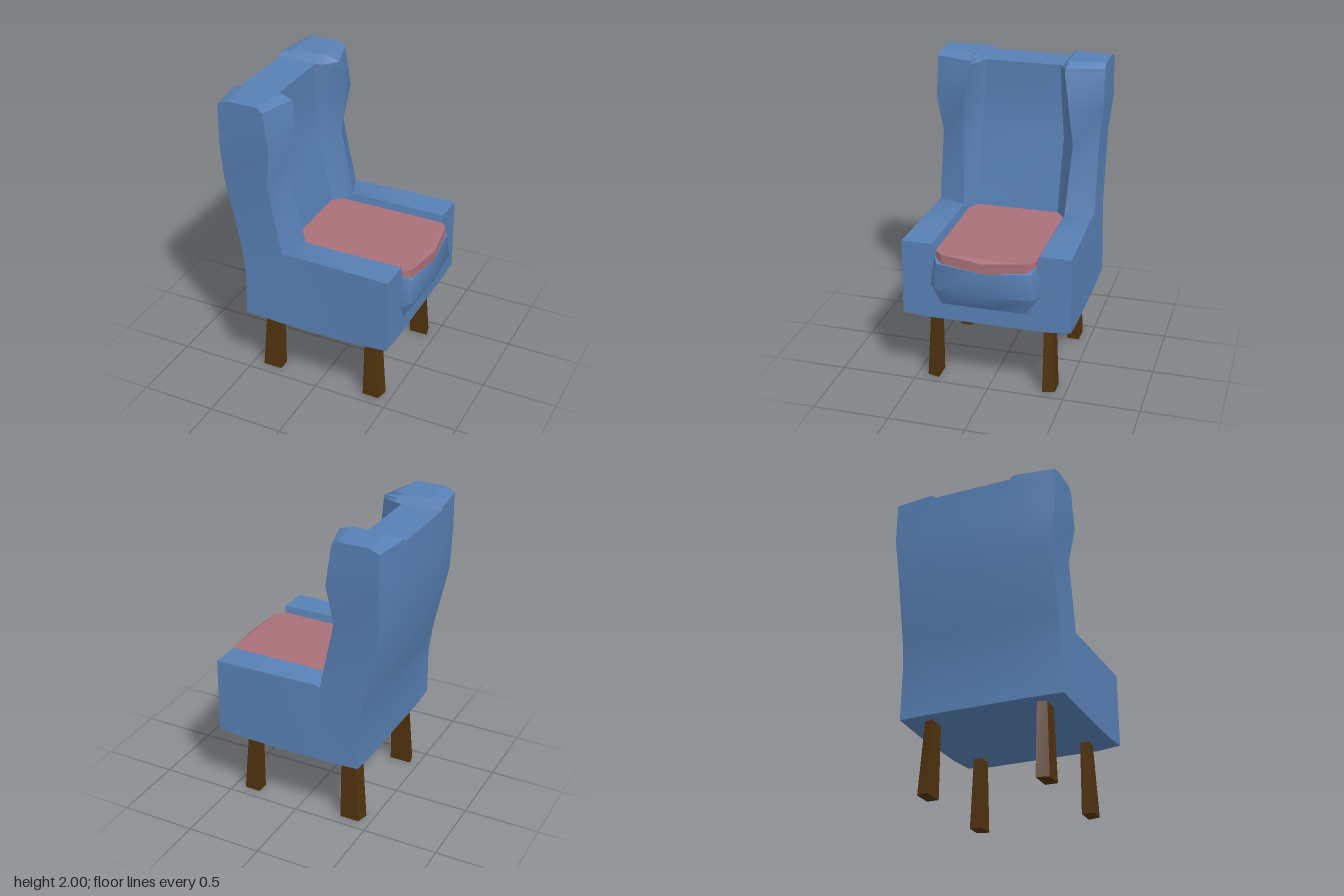
import * as THREE from 'three';
import { toCreasedNormals } from 'three/addons/utils/BufferGeometryUtils.js';

const fabric = new THREE.MeshStandardMaterial({ color: 0x5880b4 });
const pink = new THREE.MeshStandardMaterial({ color: 0xa87078 });
const wood = new THREE.MeshStandardMaterial({ color: 0x50320f });

// Closed loft through loops of [x, y, z] points, ordered along +x or +y.
function loft(sections, axis, crease = 0.6) {
  const flat = (p) => (axis === 'y' ? new THREE.Vector2(p[2], p[0]) : new THREE.Vector2(p[1], p[2]));
  if (THREE.ShapeUtils.isClockWise(sections[0].map(flat))) sections = sections.map((s) => s.slice().reverse());
  const n = sections[0].length;
  const last = sections.length - 1;
  const index = [];
  for (let i = 0; i < last; i++) {
    for (let j = 0; j < n; j++) {
      const a = i * n + j, b = i * n + ((j + 1) % n);
      index.push(a, b, b + n, a, b + n, a + n);
    }
  }
  for (const [a, b, c] of THREE.ShapeUtils.triangulateShape(sections[0].map(flat), [])) index.push(c, b, a);
  for (const t of THREE.ShapeUtils.triangulateShape(sections[last].map(flat), [])) index.push(...t.map((k) => k + last * n));
  const geo = new THREE.BufferGeometry();
  geo.setAttribute('position', new THREE.Float32BufferAttribute(sections.flat(2), 3));
  geo.setIndex(index);
  return toCreasedNormals(geo, crease);
}

// Full loop from its +z half, mirrored across z = 0 (points on z = 0 are kept once).
function mirrorZ(half) {
  const other = half.filter((p) => p[2] !== 0).map(([x, y, z]) => [x, y, -z]).reverse();
  return [...half, ...other];
}

export function createModel() {
  const model = new THREE.Group();
  const add = (name, geo, mat) => {
    const mesh = new THREE.Mesh(geo, mat);
    mesh.name = name;
    model.add(mesh);
    return mesh;
  };

  // Seat base with arms: U section swept from back to front
  const base = [
    // x, bottom y, corner y, top outer z, lower outer z
    [-0.47, 0.49, 0.49, 0.535, 0.545],
    [-0.18, 0.48, 0.48, 0.53, 0.55],
    [0.32, 0.48, 0.485, 0.54, 0.55],
    [0.53, 0.49, 0.505, 0.545, 0.55],
  ].map(([x, yb, yc, zt, zl]) => {
    const yt = x < -0.4 ? 0.81 : 1.005;
    const yf = x < -0.4 ? 0.8 : 0.88;
    return mirrorZ([
      [x, yb, 0], [x, yb, 0.4], [x, yc, zl], [x, yt, zt], [x, yt, 0.345], [x, yf, 0.32], [x, yf, 0],
    ]);
  });
  add('seatBaseAndArms', loft(base, 'x'), fabric);

  // Winged backrest: C section lofted upwards
  const back = [
    // y, back x, outer z, outer front x, inner front x, inner z, panel x, panel corner z
    [0.49, -0.48, 0.545, -0.2, -0.14, 0.345, -0.24, 0.29],
    [0.81, -0.48, 0.538, -0.17, -0.1, 0.345, -0.24, 0.29],
    [1.0, -0.527, 0.531, -0.2, -0.13, 0.345, -0.26, 0.29],
    [1.46, -0.625, 0.53, -0.295, -0.23, 0.37, -0.36, 0.3],
    [1.71, -0.625, 0.56, -0.255, -0.18, 0.35, -0.37, 0.28],
    [1.95, -0.625, 0.555, -0.288, -0.216, 0.31, -0.36, 0.27],
  ].map(([y, xb, zo, xf, xi, zi, xp, zp]) => mirrorZ([
    [xb, y, 0], [xb, y, 0.32], [xb + (y < 0.9 ? 0.01 : 0.03), y, zo], [xf, y, zo],
    [xi, y, zi], [xp + 0.05, y, zp + 0.02], [xp, y, zp - 0.02], [xp, y, 0],
  ]));
  add('wingedBackrest', loft(back, 'y'), fabric);

  // Raised, chamfered wing tops
  for (const s of [1, -1]) {
    const cap = [
      [1.95, 0.265, -0.625, -0.595, -0.288, -0.216],
      [1.972, 0.285, -0.625, -0.595, -0.29, -0.22],
      [2.0, 0.31, -0.54, -0.53, -0.33, -0.3],
    ].map(([y, zi, xb, xbo, xfo, xfi]) => [
      [xb, y, s * zi], [xb, y, s * 0.32], [xbo, y, s * 0.555],
      [xfo, y, s * 0.555], [xfi, y, s * 0.315], [xfi - 0.1, y, s * zi],
    ]);
    add(s > 0 ? 'leftWingTop' : 'rightWingTop', loft(cap, 'y', 0.3), fabric);
  }

  // Bulging apron below the cushion
  const apron = [
    // y, edge z, side x, side z, centre x, rise at the sides
    [0.6, 0.29, 0.531, 0.25, 0.532, 0],
    [0.73, 0.36, 0.595, 0.31, 0.62, 0],
    [0.88, 0.33, 0.58, 0.3, 0.61, 0.045],
  ].map(([y, ze, xs, zs, xc, up]) => mirrorZ([
    [0.45, y, 0], [0.45, y + up, ze], [0.53, y + up, ze], [xs, y + up * 0.4, zs], [xc, y, 0],
  ]));
  add('frontApron', loft(apron, 'y', 0.9), fabric);

  // Seat cushion with clipped corners and a slightly dipped front edge
  const cushion = [[0.88, 0.015], [0.965, 0]].map(([y, lift]) => mirrorZ([
    [-0.26, y, 0], [-0.26, y, 0.27], [-0.21, y, 0.322], [0.53, y + lift, 0.322],
    [0.575, y + lift, 0.275], [0.61, y - (lift ? 0 : 0.02), 0],
  ]));
  add('seatCushion', loft(cushion, 'y', 0.4), pink);

  // Tapered legs, splayed outwards at the foot
  for (const sx of [1, -1]) {
    for (const sz of [1, -1]) {
      const leg = [
        [0, sx > 0 ? 0.315 : 0.295, 0.445, 0.35, 0.43],
        [0.52, sx > 0 ? 0.318 : 0.29, 0.41, 0.35, 0.408],
      ].map(([y, x0, x1, z0, z1]) => [
        [sx * x0, y, sz * z0], [sx * x1, y, sz * z0], [sx * (x1 - 0.02), y, sz * z1], [sx * x0, y, sz * z1],
      ]);
      add(`${sx > 0 ? 'front' : 'back'}Leg${sz > 0 ? 'A' : 'B'}`, loft(leg, 'y', 0.2), wood);
    }
  }
  return model;
}
